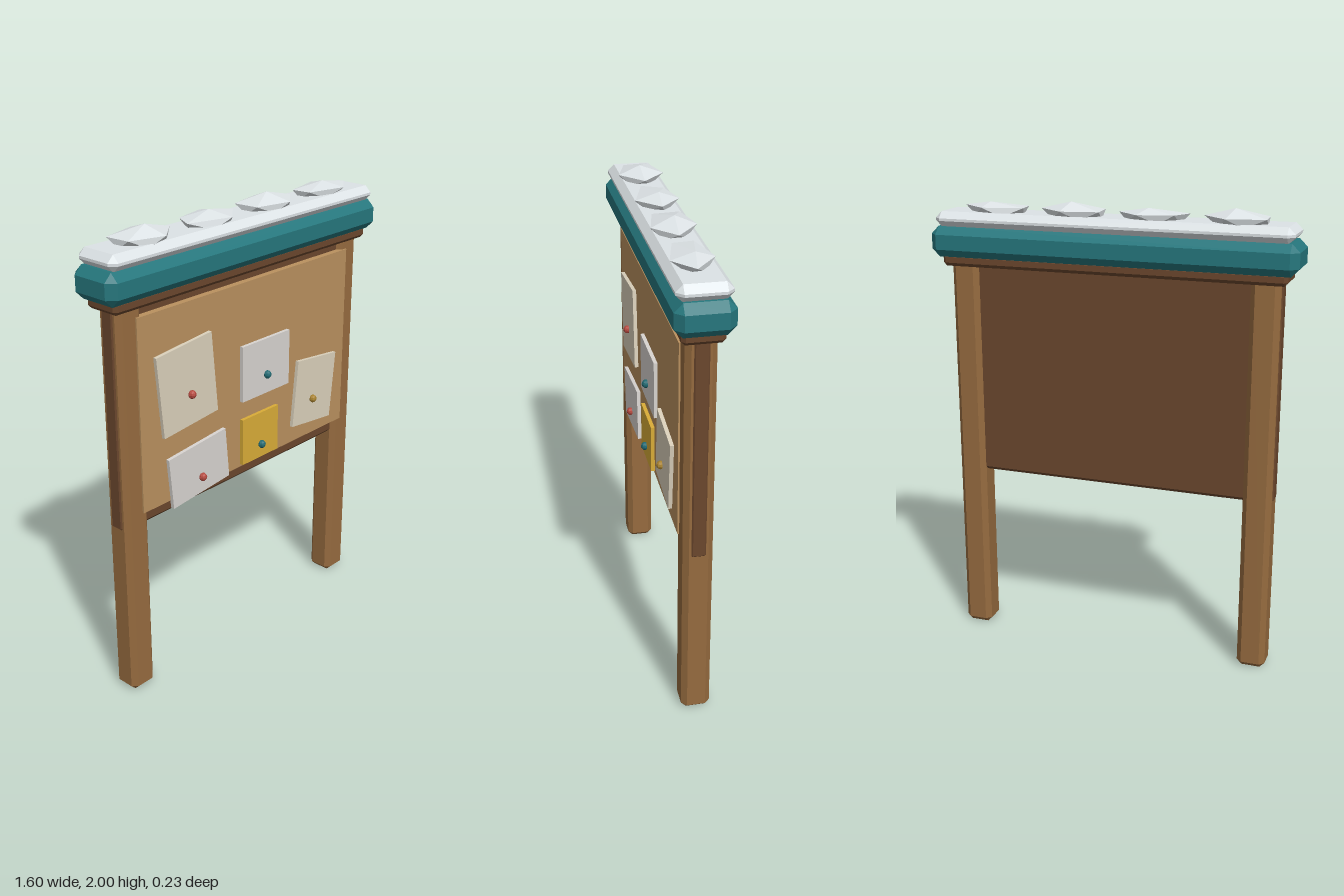
import * as THREE from 'three';
import { ConvexGeometry } from 'three/addons/geometries/ConvexGeometry.js';

const mat = (color) => new THREE.MeshStandardMaterial({ color, flatShading: true });
const wood = mat(0x966b3f), darkWood = mat(0x6b472d), cork = mat(0xba915f), teal = mat(0x26777d);
const snow = mat(0xdde3e6), cream = mat(0xdad0bb), white = mat(0xd8d4d0), yellow = mat(0xd9ac38);
const red = mat(0xb5493f), blue = mat(0x206a73), gold = mat(0xa8822f);

// Box with every edge chamfered by c
function chamferBox(w, h, d, c) {
  const pts = [];
  for (const sx of [-1, 1]) for (const sy of [-1, 1]) for (const sz of [-1, 1]) {
    for (let axis = 0; axis < 3; axis++) {
      const e = [w / 2, h / 2, d / 2].map((v, i) => (i === axis ? v : v - c));
      pts.push(new THREE.Vector3(sx * e[0], sy * e[1], sz * e[2]));
    }
  }
  return new ConvexGeometry(pts);
}

export function createModel() {
  const group = new THREE.Group();
  const add = (name, geometry, material, x, y, z) => {
    const mesh = new THREE.Mesh(geometry, material);
    mesh.name = name;
    mesh.position.set(x, y, z);
    group.add(mesh);
    return mesh;
  };
  // Chamfered beam centred in x and z, spanning y0 to y1
  const beam = (name, material, w, y0, y1, d, c, x = 0) =>
    add(name, chamferBox(w, y1 - y0, d, c), material, x, (y0 + y1) / 2, 0);

  // Posts and board
  beam('leftPost', wood, 0.125, 0, 1.76, 0.122, 0.022, 0.662);
  beam('rightPost', wood, 0.125, 0, 1.76, 0.122, 0.022, -0.662);
  beam('backBoard', darkWood, 1.46, 0.775, 1.73, 0.08, 0.016);
  add('corkPanel', new THREE.BoxGeometry(1.28, 0.83, 0.038), cork, 0, 1.26, 0.049);

  // Roof layers
  beam('roofTrim', darkWood, 1.51, 1.71, 1.765, 0.165, 0.015);
  beam('roofBeam', teal, 1.6, 1.75, 1.882, 0.23, 0.034);
  beam('snowSlab', snow, 1.555, 1.878, 1.945, 0.212, 0.028);

  // Snow lumps: outline in x, z, then the peak
  const lumps = [
    { ring: [[-0.66, -0.06], [-0.5, -0.1], [-0.39, 0], [-0.5, 0.095], [-0.65, 0.05]], peak: [-0.52, 2, 0] },
    { ring: [[-0.325, 0.03], [-0.28, -0.06], [-0.13, -0.095], [-0.03, -0.005], [-0.13, 0.087]], peak: [-0.16, 1.988, -0.015] },
    { ring: [[0.04, -0.06], [0.2, -0.095], [0.32, 0], [0.215, 0.09], [0.05, 0.055]], peak: [0.18, 2, -0.01] },
    { ring: [[0.385, -0.04], [0.56, -0.082], [0.675, 0.01], [0.575, 0.09], [0.395, 0.045]], peak: [0.55, 1.986, -0.01] },
  ];
  lumps.forEach(({ ring, peak }, i) => {
    const pts = [new THREE.Vector3(...peak)];
    const cx = ring.reduce((s, p) => s + p[0], 0) / 5;
    for (const [x, z] of ring) {
      pts.push(new THREE.Vector3(x, 1.967, z));
      // Mirrored, smaller lower ring sunk into the slab
      pts.push(new THREE.Vector3(cx - (x - cx) * 0.75, 1.93, -z * 0.75));
    }
    add('snowLump' + (i + 1), new ConvexGeometry(pts), snow, 0, 0, 0);
  });

  // Notes: x, y, width, height, tilt in degrees, paper, tack x, tack y, tack colour
  const notes = [
    [-0.39, 1.333, 0.31, 0.355, 5.5, cream, -0.375, 1.29, red],
    [0.085, 1.278, 0.3, 0.25, 0, white, 0.085, 1.24, blue],
    [0.418, 1.066, 0.267, 0.31, -6, cream, 0.402, 1.027, gold],
    [-0.33, 0.94, 0.335, 0.23, 5.4, white, -0.32, 0.898, red],
    [0.05, 0.963, 0.23, 0.213, 0, yellow, 0.052, 0.92, blue],
  ];
  notes.forEach(([x, y, w, h, tilt, paper, tx, ty, tack], i) => {
    const note = add('note' + (i + 1), new THREE.BoxGeometry(w, h, 0.018), paper, x, y, 0.075);
    note.rotation.z = THREE.MathUtils.degToRad(tilt);
    add('tack' + (i + 1), new THREE.SphereGeometry(0.018, 8, 6), tack, tx, ty, 0.09);
  });

  return group;
}
